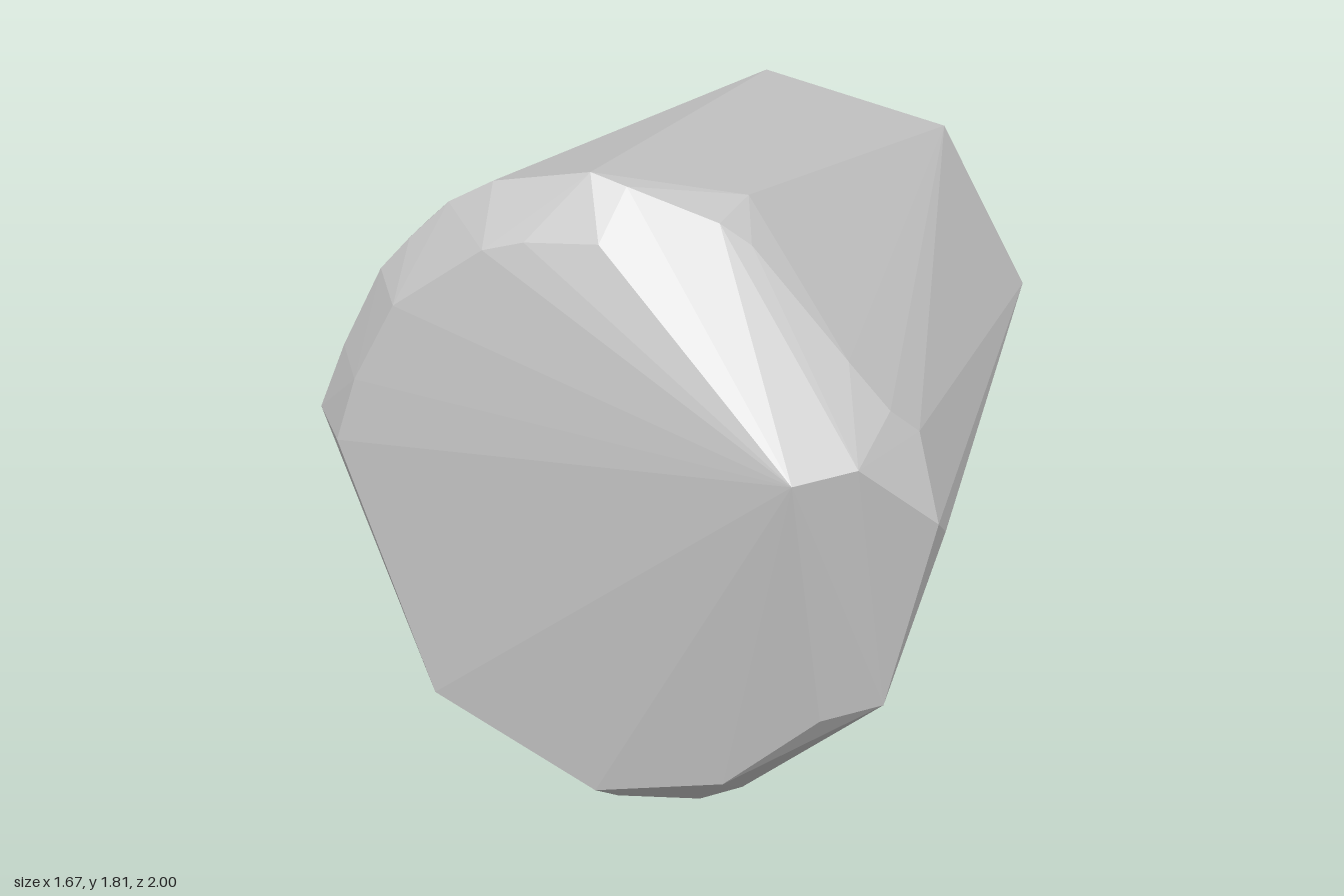
import * as THREE from 'three';
import { ConvexGeometry } from 'three/addons/geometries/ConvexGeometry.js';

// Corner points [x, y, z] of each ring, from back to front
const backCap = [
  [0.33, 1.26, -1], [-0.23, 1.35, -1], [-0.53, 0.875, -1],
  [-0.41, 0.58, -1], [0.17, 0.46, -1], [0.48, 0.92, -1],
];
const backBevel = [
  [0.33, 1.38, -0.88], [-0.23, 1.47, -0.88], [-0.645, 0.875, -0.88],
  [-0.41, 0.465, -0.88], [0.17, 0.345, -0.88], [0.6, 0.92, -0.88],
];
const sideCorners = [
  [-0.53, 1.315, -0.35], [-0.54, 1.54, 0.57], [0.28, 1.72, 0.5],
];
const frontBevel = [
  [-0.02, 1.81, 0.71], [0.07, 1.79, 0.71], [0.28, 1.72, 0.67], [0.35, 1.67, 0.65],
  [0.6, 1.44, 0.68], [0.7, 1.33, 0.67], [0.75, 1.25, 0.6], [0.835, 1.07, 0.69],
  [0.83, 1.0, 0.61], [0.73, 0.53, 0.71], [0.36, 0.15, 0.71], [0.24, 0.07, 0.71],
  [0, 0, 0.71], [-0.47, 0.17, 0.71], [-0.58, 0.29, 0.71], [-0.84, 1.0, 0.68],
  [-0.75, 1.2, 0.68], [-0.62, 1.44, 0.68], [-0.53, 1.54, 0.68], [-0.42, 1.65, 0.67],
  [-0.29, 1.73, 0.68],
];
const frontCap = [
  [0.59, 1.29, 1], [0.7, 1.29, 0.88], [0.61, 0.53, 0.83], [0.36, 0.26, 0.84],
  [0, 0.12, 0.84], [-0.47, 0.29, 0.83], [-0.71, 1.0, 0.81], [-0.64, 1.19, 0.81],
  [-0.51, 1.42, 0.81], [-0.25, 1.62, 0.82], [-0.14, 1.66, 0.82], [0.05, 1.69, 0.82],
];

export function createModel() {
  const group = new THREE.Group();
  group.name = 'rock';

  // Faceted tapering stone: the hull around all rings
  const points = [backCap, backBevel, sideCorners, frontBevel, frontCap]
    .flat()
    .map((p) => new THREE.Vector3(...p));
  const stone = new THREE.Mesh(
    new ConvexGeometry(points),
    new THREE.MeshStandardMaterial({ color: 0xcccccc, flatShading: true })
  );
  stone.name = 'stoneBody';
  group.add(stone);
  return group;
}
